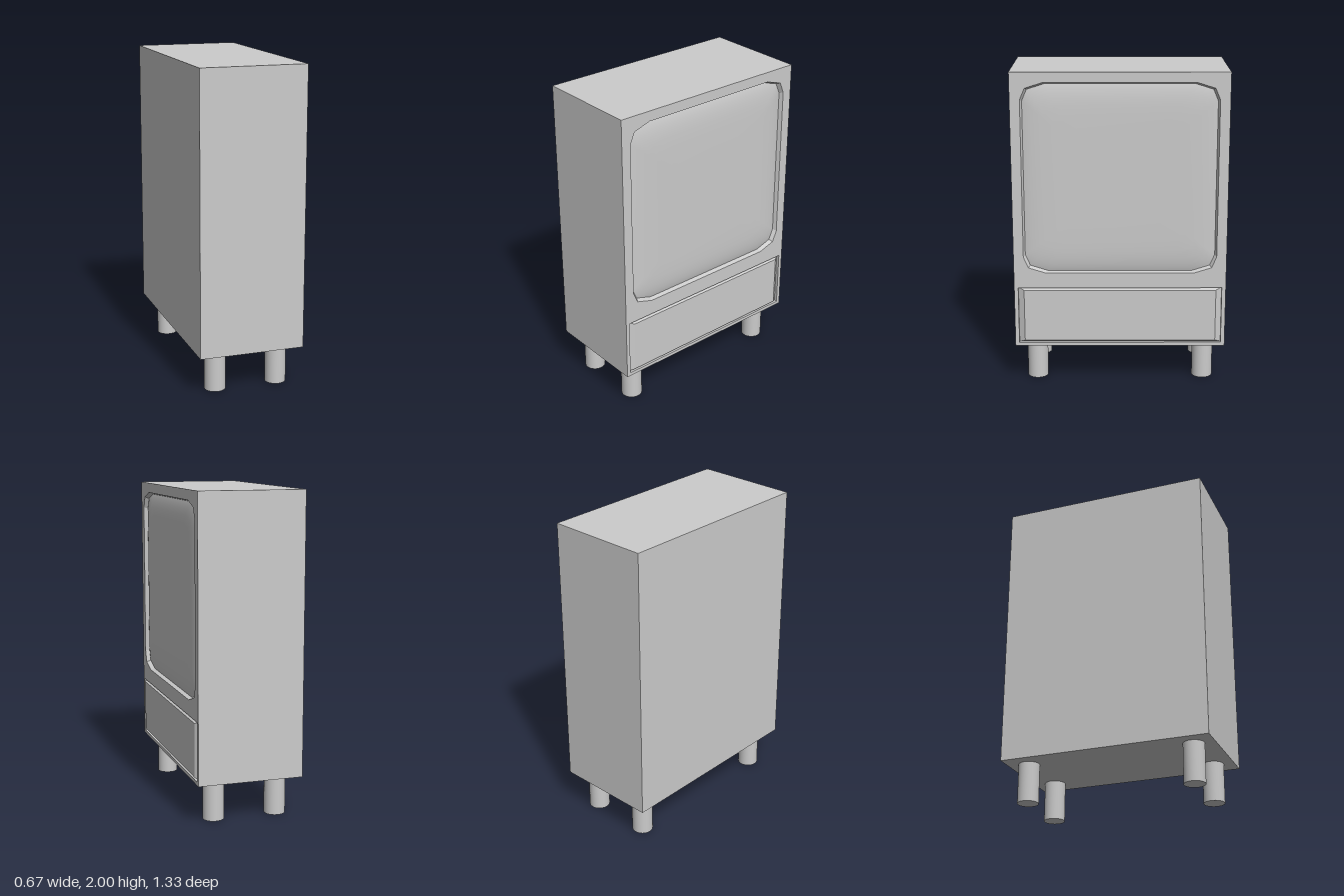
import * as THREE from 'three';

const FRONT = 0.33, BACK = -0.335, BOTTOM = 0.25, TOP = 2, HALF = 0.665;
const mat = new THREE.MeshStandardMaterial({ color: 0xcccccc });
const flatMat = new THREE.MeshStandardMaterial({ color: 0xcccccc, flatShading: true });

// Outlines are counter-clockwise [across, up] points on the +x side of the cabinet
const rect = (w, y0, y1) => [[-w, y0], [w, y0], [w, y1], [-w, y1]];
const CY = 1.3375;
function screenOutline(w, h) {
  const corner = [[w, h - 0.105], [w - 0.03, h - 0.035], [w - 0.14, h]];
  const flip = (sx, sy) => corner.map(([a, b]) => [a * sx, CY + b * sy]);
  return [...flip(1, 1), ...flip(-1, 1).reverse(), ...flip(-1, -1), ...flip(1, -1).reverse()];
}
const toPath = (pts, Type) => new Type(pts.map(([a, b]) => new THREE.Vector2(a, b)));

// Flat face at a given x, turned to look along +x
function face(pts, x, holes = []) {
  const shape = toPath(pts, THREE.Shape);
  shape.holes = holes.map((h) => toPath(h, THREE.Path));
  return new THREE.ShapeGeometry(shape).rotateY(Math.PI / 2).translate(x, 0, 0);
}

// Strip of quads joining outlines from the outside in; each ring is [outline, x]
function loft(rings) {
  const pos = [], idx = [], n = rings[0][0].length;
  rings.forEach(([pts, x]) => pts.forEach(([a, b]) => pos.push(x, b, -a)));
  for (let r = 0; r < rings.length - 1; r++) {
    for (let i = 0; i < n; i++) {
      const a = r * n + i, b = r * n + (i + 1) % n;
      idx.push(a, b, b + n, a, b + n, a + n);
    }
  }
  const g = new THREE.BufferGeometry();
  g.setAttribute('position', new THREE.Float32BufferAttribute(pos, 3));
  g.setIndex(idx);
  g.computeVertexNormals();
  return g;
}

export function createModel() {
  const group = new THREE.Group();
  const add = (name, geo, material = mat) => {
    const mesh = new THREE.Mesh(geo, material);
    mesh.name = name;
    group.add(mesh);
    return mesh;
  };

  // Cabinet box without its +x side, which is closed by the pierced front below
  const box = new THREE.BoxGeometry(FRONT - BACK, TOP - BOTTOM, HALF * 2);
  box.setIndex(Array.from(box.index.array).slice(6));
  box.clearGroups();
  box.translate((FRONT + BACK) / 2, (TOP + BOTTOM) / 2, 0);
  add('cabinet', box);

  const screenOuter = screenOutline(0.603, 0.6);
  const screenInner = screenOutline(0.592, 0.59);
  const panelOuter = rect(0.64, 0.272, 0.64);
  const panelInner = rect(0.603, 0.29, 0.625);
  add('cabinetFront', face(rect(HALF, BOTTOM, TOP), FRONT, [screenOuter, panelOuter]));

  // Recessed rim and gently domed screen
  add('screenRim', loft([[screenOuter, FRONT], [screenInner, 0.305]]), flatMat);
  const dome = [1, 0.985, 0.96, 0.92, 0.86, 0.78, 0.65, 0.4, 0.001].map((s) => [
    screenInner.map(([a, b]) => [a * s, CY + (b - CY) * s]),
    0.305 + 0.022 * (1 - s ** 9),
  ]);
  add('screen', loft(dome));

  // Lower panel standing in a shallow recess with sloping edges
  add('panelEdges', loft([[panelOuter, FRONT], [panelOuter, 0.31], [panelInner, 0.335]]), flatMat);
  add('panel', face(panelInner, 0.335));

  // Four round legs
  for (const x of [-0.202, 0.197]) {
    for (const z of [-0.533, 0.533]) {
      const leg = add('leg', new THREE.CylinderGeometry(0.066, 0.066, BOTTOM, 32));
      leg.position.set(x, BOTTOM / 2, z);
    }
  }
  return group;
}
